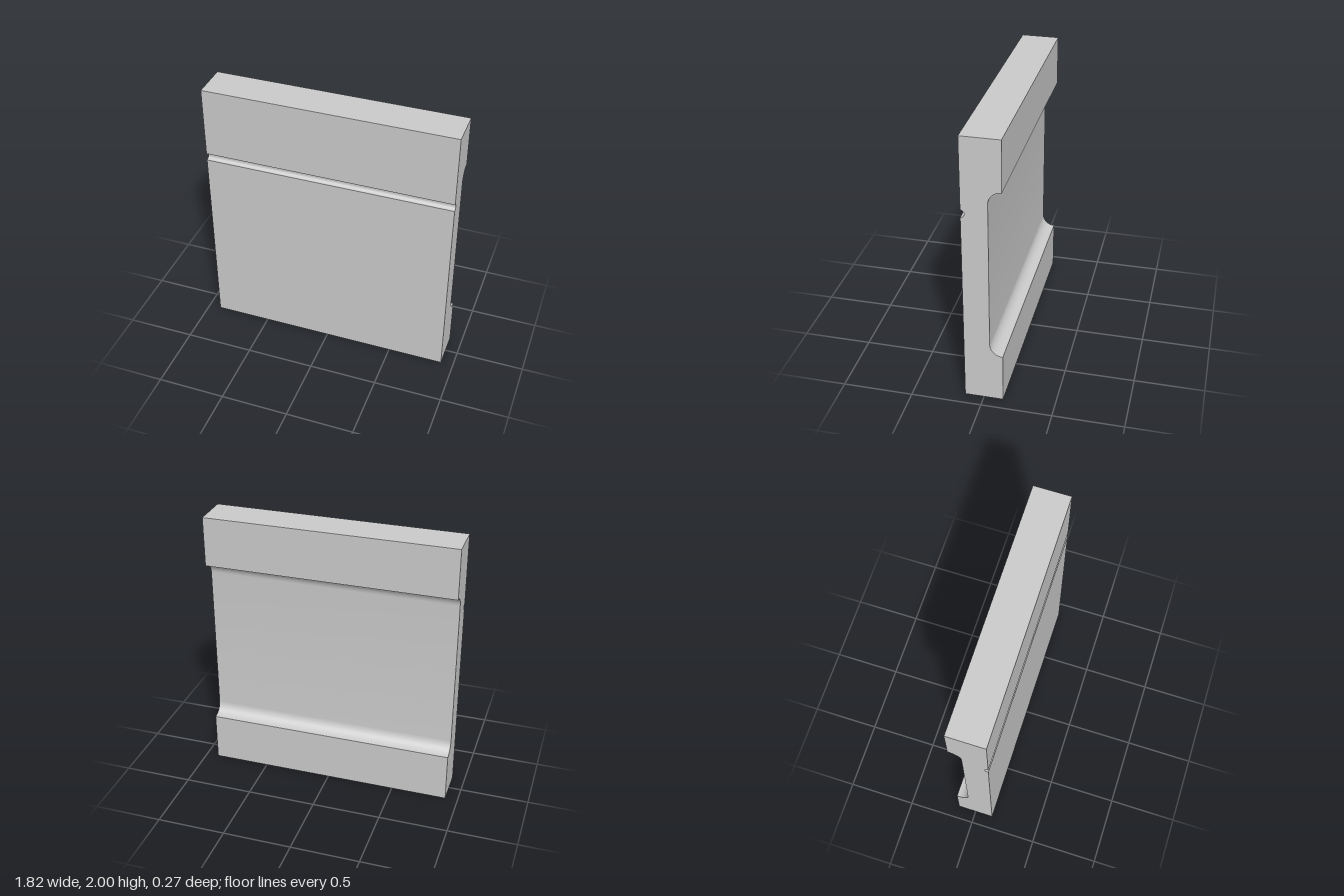
import * as THREE from 'three';
import { toCreasedNormals } from 'three/addons/utils/BufferGeometryUtils.js';

const WIDTH = 1.816, HEIGHT = 2, HALF_DEPTH = 0.136;
const GROOVE_Y = 1.455, GROOVE_R = 0.027;
const RECESS_LOW = 0.365, RECESS_HIGH = 1.635, COVE_R = 0.091;

// Side profile: shape x is the model's z, shape y is height.
function panelProfile() {
  const d = HALF_DEPTH, q = Math.PI / 2;
  const s = new THREE.Shape();
  s.moveTo(-d, 0);
  s.lineTo(d, 0);
  // Half-round groove across the front
  s.lineTo(d, GROOVE_Y - GROOVE_R);
  s.absarc(d, GROOVE_Y, GROOVE_R, -q, q, true);
  s.lineTo(d, HEIGHT);
  s.lineTo(-d, HEIGHT);
  // Back recess with coved upper and lower corners
  s.lineTo(-d, RECESS_HIGH);
  s.absarc(-d, RECESS_HIGH - COVE_R, COVE_R, q, 0, true);
  s.absarc(-d, RECESS_LOW + COVE_R, COVE_R, 0, -q, true);
  s.closePath();
  return s;
}

export function createModel() {
  const group = new THREE.Group();
  group.name = 'groovedPanel';

  // One profile swept across the full width
  const extruded = new THREE.ExtrudeGeometry(panelProfile(), {
    depth: WIDTH, bevelEnabled: false, curveSegments: 24,
  });
  extruded.translate(0, 0, -WIDTH / 2);
  extruded.rotateY(-Math.PI / 2);

  const panel = new THREE.Mesh(
    toCreasedNormals(extruded, Math.PI / 6),
    new THREE.MeshStandardMaterial({ color: 0xcccccc }),
  );
  panel.name = 'panel';
  group.add(panel);
  return group;
}
